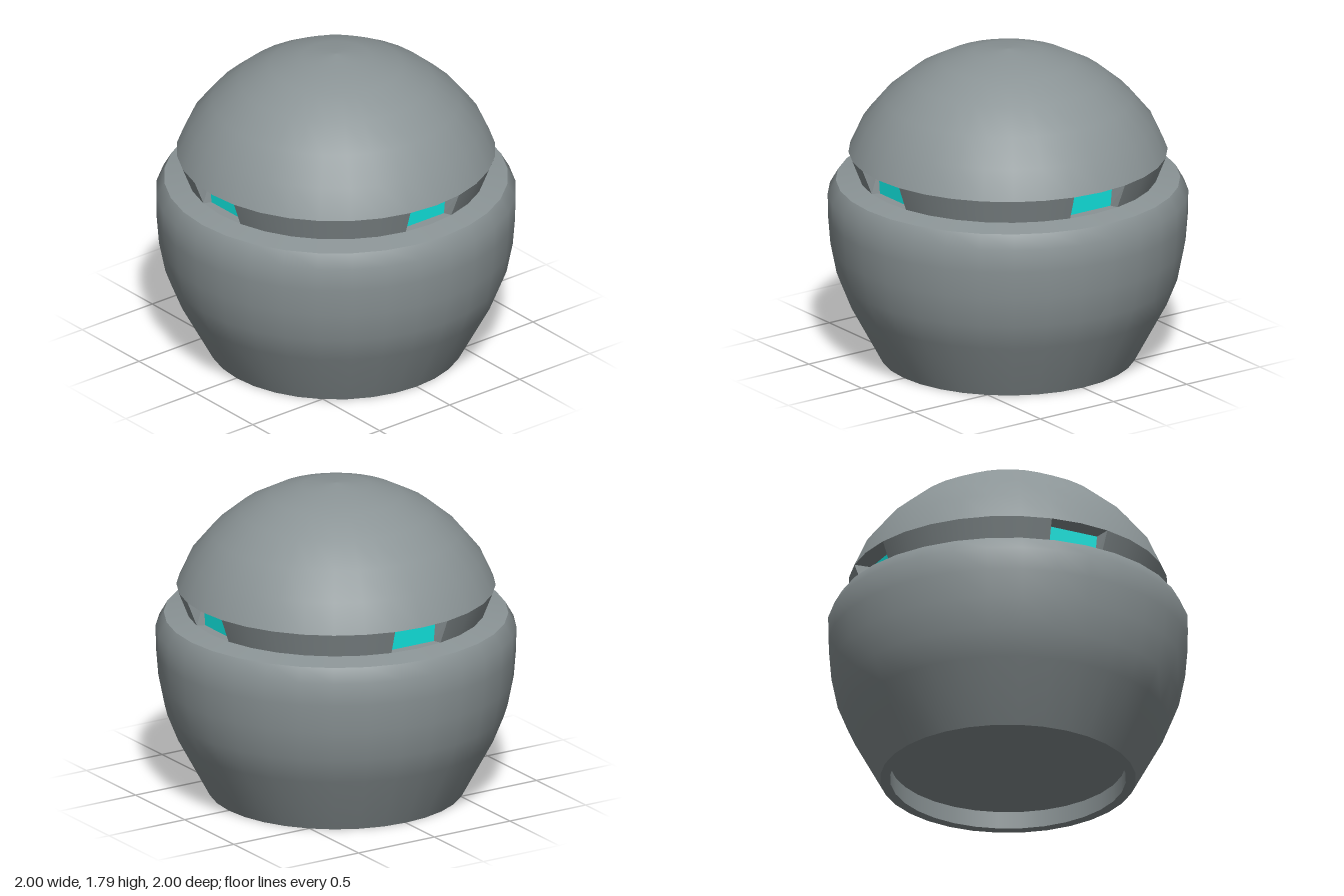
import * as THREE from 'three';

const SEG = 32;
const STEP = (Math.PI * 2) / SEG;
const NECK = { r0: 0.83, y0: 1.055, r1: 0.885, y1: 1.195 };
const PANEL_Z = 0.77;

// Profile revolved around y; points run from the underside outward and up
function lathe(points, start = 0, segments = SEG) {
  const profile = points.map(([x, y]) => new THREE.Vector2(x, y));
  return new THREE.LatheGeometry(profile, segments, start, segments * STEP);
}

// Flat convex polygons, fanned from their first corner
function polygons(faces) {
  const pos = [];
  for (const f of faces)
    for (let i = 1; i < f.length - 1; i++) pos.push(...f[0], ...f[i], ...f[i + 1]);
  const geo = new THREE.BufferGeometry();
  geo.setAttribute('position', new THREE.Float32BufferAttribute(pos, 3));
  geo.computeVertexNormals();
  return geo;
}

export function createModel() {
  const gray = new THREE.MeshStandardMaterial({ color: 0x8b9496 });
  gray.name = 'shell gray';
  const cyan = new THREE.MeshStandardMaterial({ color: 0x10e0da });
  cyan.name = 'window cyan';

  const model = new THREE.Group();
  model.name = 'domedPod';
  const add = (name, geo, mat = gray, parent = model) => {
    const mesh = new THREE.Mesh(geo, mat);
    mesh.name = name;
    parent.add(mesh);
    return mesh;
  };

  // Hollow foot
  add('cavityCeiling', lathe([[0, 0.1], [0.655, 0.1]]));
  add('cavityWall', lathe([[0.655, 0.1], [0.655, 0]]));
  add('footRim', lathe([[0.655, 0], [0.71, 0]]));

  // Bowl-shaped body and the sloping ledge on top of it
  add('body', lathe([[0.71, 0], [0.89, 0.335], [0.95, 0.485], [0.985, 0.66],
    [0.998, 0.82], [1, 0.95], [0.955, 1.03]]));
  add('ledge', lathe([[0.955, 1.03], [NECK.r0, NECK.y0]]));

  // Dome
  add('dome', lathe([[NECK.r1, NECK.y1], [0.81, 1.36], [0.69, 1.505], [0.54, 1.63],
    [0.37, 1.72], [0.19, 1.772], [0, 1.79]]));

  // Window recess corners: outer edge on the neck, inner edge at the panel
  const s = Math.sin(STEP), c = Math.cos(STEP);
  const { r0, y0, r1, y1 } = NECK;
  const ob = (k) => [k * r0 * s, y0, r0 * c];
  const ot = (k) => [k * r1 * s, y1, r1 * c];
  const ib = (k) => [k * 0.146, y0, PANEL_Z];
  const it = (k) => [k * 0.159, y1, PANEL_Z];
  const recess = polygons([
    [ob(-1), ib(-1), it(-1), ot(-1)],
    [ot(1), it(1), ib(1), ob(1)],
    [it(-1), it(1), ot(1), [0, y1, r1], ot(-1)],
    [ob(-1), [0, y0, r0], ob(1), ib(1), ib(-1)],
  ]);
  const panel = polygons([[ib(-1), ib(1), it(1), it(-1)]]);
  const neck = lathe([[r0, y0], [r1, y1]], STEP, SEG / 4 - 2);

  // Four neck sections with a window between each pair
  for (let i = 0; i < 4; i++) {
    const side = new THREE.Group();
    side.name = 'neckSide' + (i + 1);
    side.rotation.y = (i * Math.PI) / 2;
    add('neckSection', neck, gray, side);
    add('windowRecess', recess, gray, side);
    add('window', panel, cyan, side);
    model.add(side);
  }
  return model;
}
